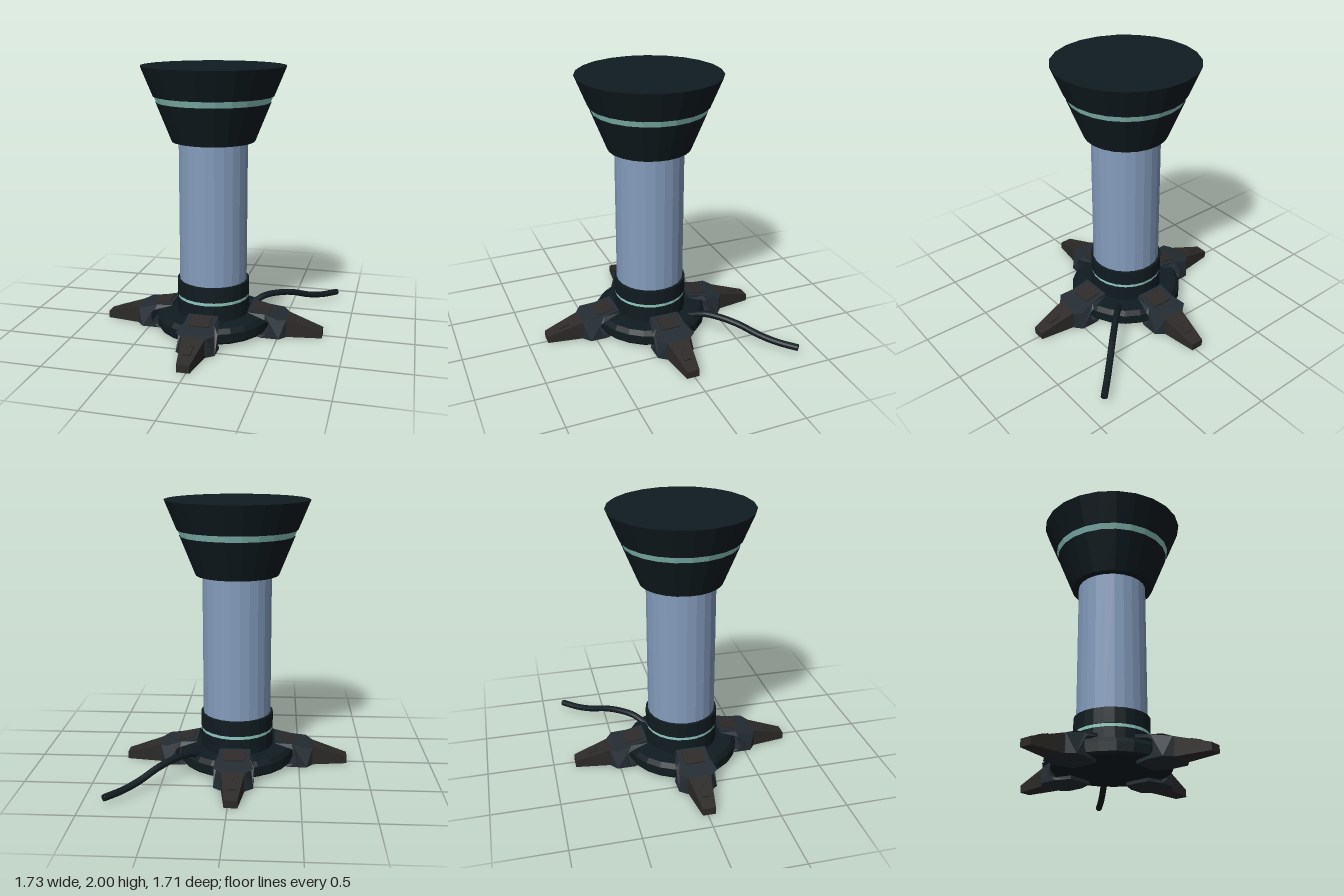
import * as THREE from 'three';

const SIDES = 23;
const material = (color) => new THREE.MeshStandardMaterial({ color, flatShading: true });
const dark = material(0x101c20);
const glow = material(0x8fc9c0);
const glass = material(0x849cbd);
const steel = material(0x242c32);
const brown = material(0x2d2a29);

function add(parent, name, geometry, mat) {
  const mesh = new THREE.Mesh(geometry, mat);
  mesh.name = name;
  parent.add(mesh);
  return mesh;
}

// Round section between two heights
function ring(parent, name, y0, y1, r0, r1, mat) {
  const g = new THREE.CylinderGeometry(r1, r0, y1 - y0, SIDES);
  add(parent, name, g, mat).position.y = (y0 + y1) / 2;
}

// Move every vertex by a rule
function reshape(geometry, rule) {
  const p = geometry.attributes.position;
  const v = new THREE.Vector3();
  for (let i = 0; i < p.count; i++) {
    rule(v.fromBufferAttribute(p, i));
    p.setXYZ(i, v.x, v.y, v.z);
  }
  geometry.computeVertexNormals();
  return geometry;
}

// One clamp foot, pointing along +z
function createLeg() {
  const leg = new THREE.Group();
  leg.name = 'leg';

  // C-shaped clamp: profile in (radius, height), extruded sideways
  const profile = [
    [0.29, 0], [0.4, 0], [0.535, 0], [0.58, 0], [0.58, 0.138], [0.535, 0.15], [0.42, 0.175],
    [0.295, 0.203], [0.29, 0.18], [0.43, 0.142], [0.452, 0.125], [0.46, 0.1], [0.455, 0.045],
    [0.435, 0.025], [0.29, 0.025],
  ].map(([x, y]) => new THREE.Vector2(x, y));
  const clamp = new THREE.ExtrudeGeometry(new THREE.Shape(profile), { depth: 2, bevelEnabled: false });
  clamp.translate(0, 0, -1).rotateY(-Math.PI / 2);
  reshape(clamp, (v) => {
    let half = 0.145;
    if (v.z > 0.536) half = 0.09;
    else if (v.y > 0.16) half = 0.115;
    else if (v.y < 0.03 && v.z < 0.3) half = 0.1;
    v.x *= half;
  });
  add(leg, 'clamp', clamp, steel);

  // Wedge foot, narrower and lower towards the tip
  const foot = reshape(new THREE.BoxGeometry(2, 1, 1), (v) => {
    const tip = v.z > 0;
    v.x *= tip ? 0.047 : 0.085;
    v.y = v.y > 0 ? (tip ? 0.055 : 0.14) : 0;
    v.z = tip ? 0.845 : 0.575;
  });
  add(leg, 'foot', foot, brown);

  // Raised pads on the foot and on the clamp
  const footPad = add(leg, 'footPad', new THREE.BoxGeometry(0.055, 0.02, 0.085), brown);
  footPad.position.set(0, 0.098, 0.71);
  footPad.rotation.x = 0.31;
  const clampPad = add(leg, 'clampPad', new THREE.BoxGeometry(0.15, 0.025, 0.13), brown);
  clampPad.position.set(0, 0.179, 0.385);
  clampPad.rotation.x = 0.22;

  // Bolt set into the slope
  const bolt = new THREE.CylinderGeometry(0.028, 0.028, 0.08, 10).rotateX(Math.PI / 2);
  add(leg, 'bolt', bolt, steel).position.set(0, 0.09, 0.63);
  return leg;
}

export function createModel() {
  const model = new THREE.Group();
  model.name = 'columnOnFeet';
  const body = new THREE.Group();
  body.name = 'body';
  body.position.set(-0.022, 0, 0.01);
  model.add(body);

  // Base plate with chamfered rim
  const rim = [[0, 0.025], [0.42, 0.025], [0.43, 0.04], [0.43, 0.105], [0.405, 0.14], [0, 0.14]]
    .map(([x, y]) => new THREE.Vector2(x, y));
  add(body, 'basePlate', new THREE.LatheGeometry(rim, SIDES), dark);

  // Lower collar with light stripe
  ring(body, 'lowerCollar', 0.14, 0.26, 0.275, 0.275, dark);
  ring(body, 'lowerStripe', 0.26, 0.285, 0.27, 0.27, glow);
  ring(body, 'upperCollar', 0.285, 0.4, 0.275, 0.275, dark);

  // Column
  ring(body, 'column', 0.39, 1.47, 0.256, 0.256, glass);

  // Flared head with light stripe
  ring(body, 'lowerHead', 1.455, 1.74, 0.308, 0.422, dark);
  ring(body, 'headStripe', 1.74, 1.785, 0.417, 0.435, glow);
  ring(body, 'upperHead', 1.785, 2, 0.442, 0.53, dark);

  // Four feet
  for (let i = 0; i < 4; i++) {
    const leg = createLeg();
    leg.rotation.y = (i * Math.PI) / 2;
    body.add(leg);
  }

  // Cable running out diagonally to the back left, as [distance, height]
  const path = [[0.18, 0.1], [0.25, 0.13], [0.32, 0.162], [0.42, 0.16], [0.52, 0.135],
    [0.63, 0.085], [0.73, 0.058], [0.845, 0.05]]
    .map(([d, y]) => new THREE.Vector3(d, y, -d + 0.012));
  const curve = new THREE.CatmullRomCurve3(path);
  add(model, 'cable', new THREE.TubeGeometry(curve, 28, 0.025, 10), dark);

  // Caps closing the cable ends
  for (const t of [0, 1]) {
    const cap = add(model, 'cableEnd', new THREE.CircleGeometry(0.025, 10), dark);
    const point = curve.getPointAt(t);
    cap.position.copy(point);
    cap.lookAt(point.clone().addScaledVector(curve.getTangentAt(t), t ? 1 : -1));
  }
  return model;
}
